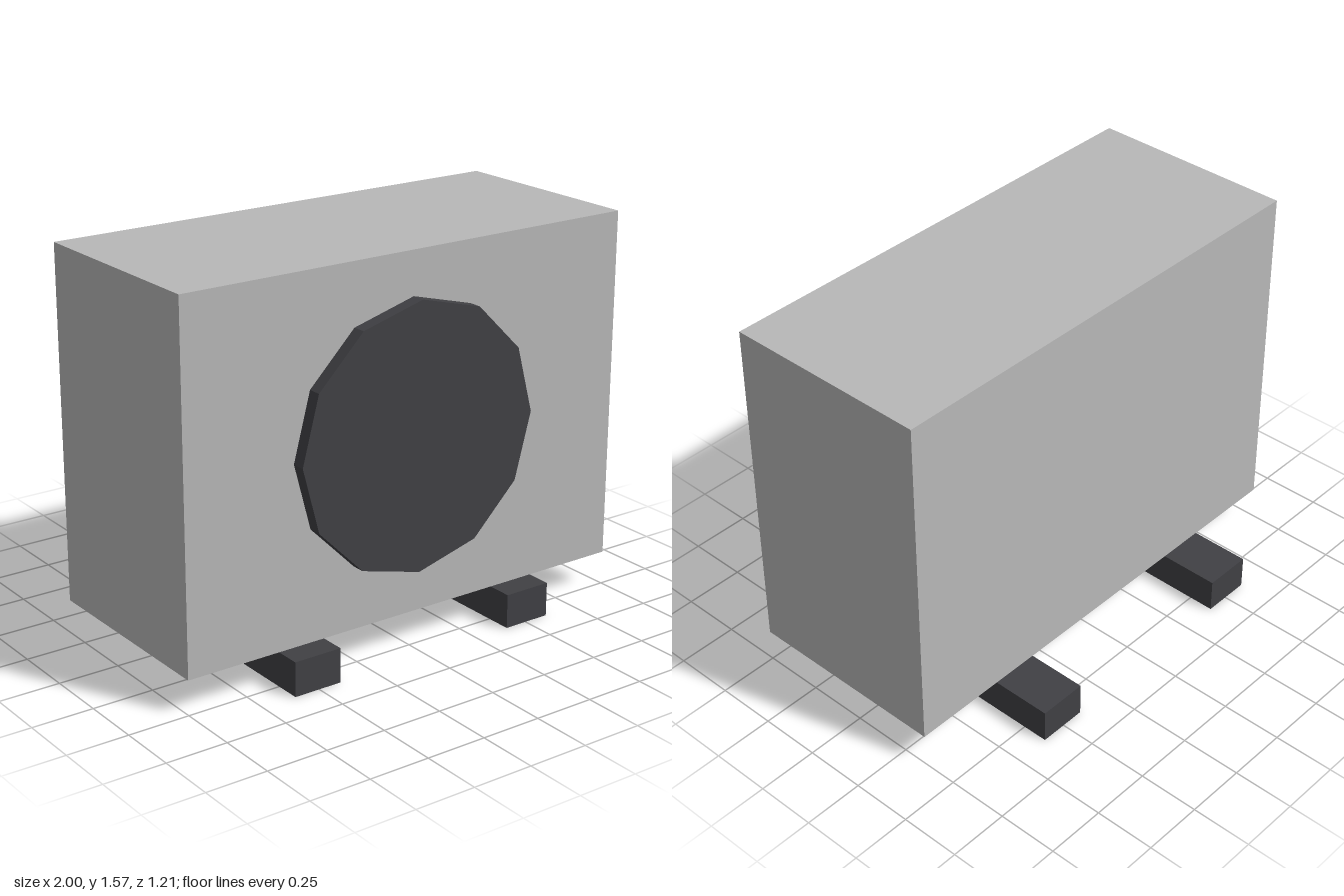
import * as THREE from 'three';

export function createModel() {
  const group = new THREE.Group();
  const casing = new THREE.MeshStandardMaterial({ color: 0xb8b8b8 });
  casing.name = 'casing grey';
  const dark = new THREE.MeshStandardMaterial({ color: 0x404044 });
  dark.name = 'dark grey';

  function add(name, geometry, material, x, y, z) {
    // Hard-edged facets throughout
    const flat = geometry.toNonIndexed();
    flat.computeVertexNormals();
    const mesh = new THREE.Mesh(flat, material);
    mesh.name = name;
    mesh.position.set(x, y, z);
    group.add(mesh);
  }

  // Main casing, set slightly forward on the rails
  add('casing', new THREE.BoxGeometry(2, 1.43, 0.857), casing, 0, 0.855, 0.073);

  // Twelve-sided fan cover on the front
  const fan = new THREE.CylinderGeometry(0.535, 0.535, 0.055, 12).rotateX(Math.PI / 2);
  add('fanCover', fan, dark, 0, 0.86, 0.529);

  // Two support rails running front to back
  for (const [name, side] of [['leftRail', 1], ['rightRail', -1]]) {
    add(name, new THREE.BoxGeometry(0.203, 0.14, 1.21), dark, side * 0.505, 0.07, 0);
  }

  return group;
}
